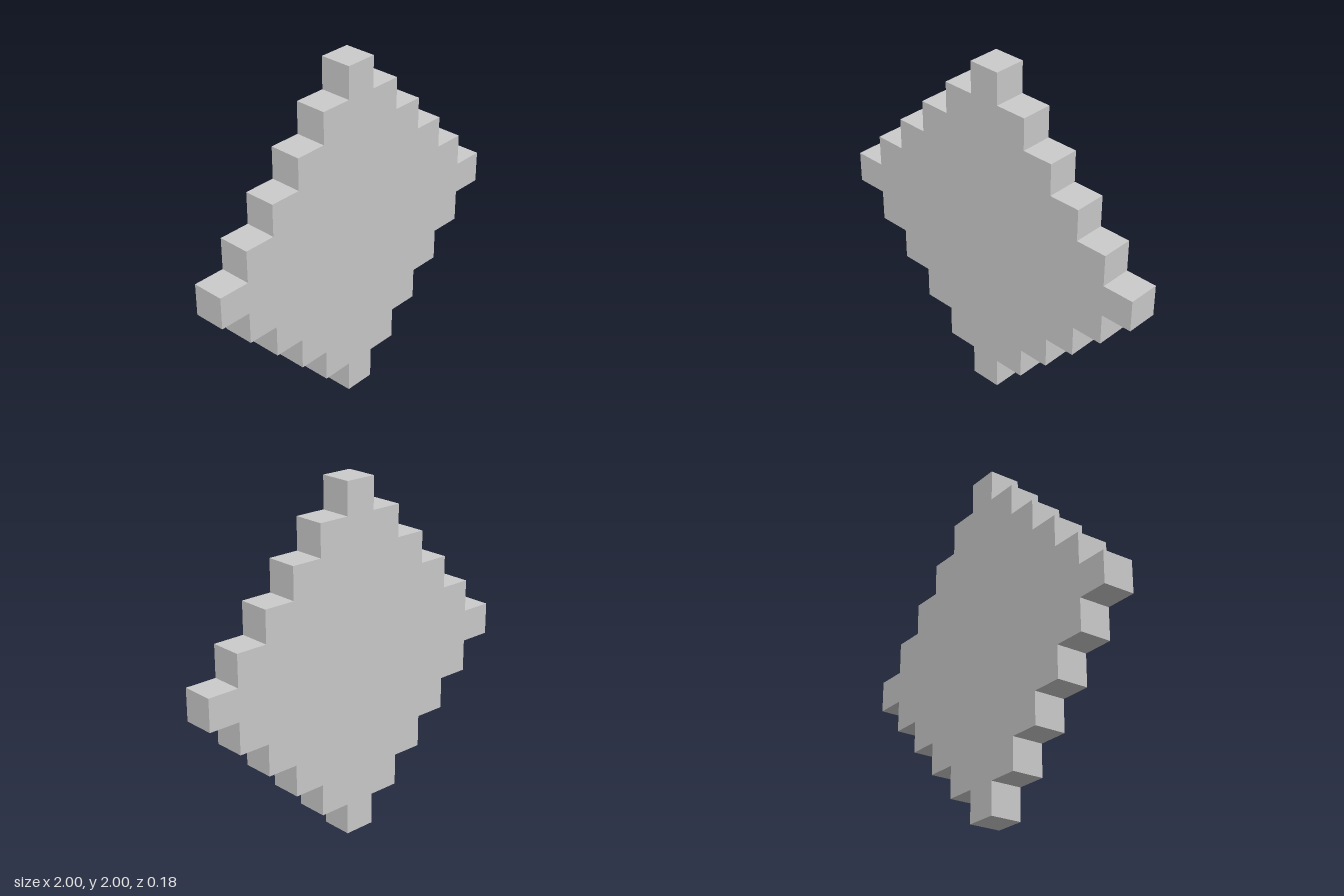
import * as THREE from 'three';

const STEPS = 5;                    // steps from the middle row to each tip
const UNIT = 2 / (2 * STEPS + 1);   // side of one square cell

// Stepped diamond outline, counter-clockwise from the bottom tip
function steppedDiamond() {
  const right = [];
  for (let row = -STEPS; row <= STEPS; row++) {
    const halfWidth = (STEPS + 0.5 - Math.abs(row)) * UNIT;
    right.push(
      new THREE.Vector2(halfWidth, (row - 0.5) * UNIT),
      new THREE.Vector2(halfWidth, (row + 0.5) * UNIT)
    );
  }
  const left = right.map((p) => new THREE.Vector2(-p.x, p.y)).reverse();
  return new THREE.Shape([...right, ...left]);
}

export function createModel() {
  const group = new THREE.Group();
  group.name = 'steppedDiamondPlate';

  // Plate one cell thick, centred on z and standing on its bottom tip
  const geometry = new THREE.ExtrudeGeometry(steppedDiamond(), { depth: UNIT, bevelEnabled: false });
  geometry.translate(0, 1, -UNIT / 2);

  const material = new THREE.MeshStandardMaterial({ color: 0xcccccc, flatShading: true });
  const plate = new THREE.Mesh(geometry, material);
  plate.name = 'diamondPlate';
  group.add(plate);
  return group;
}
